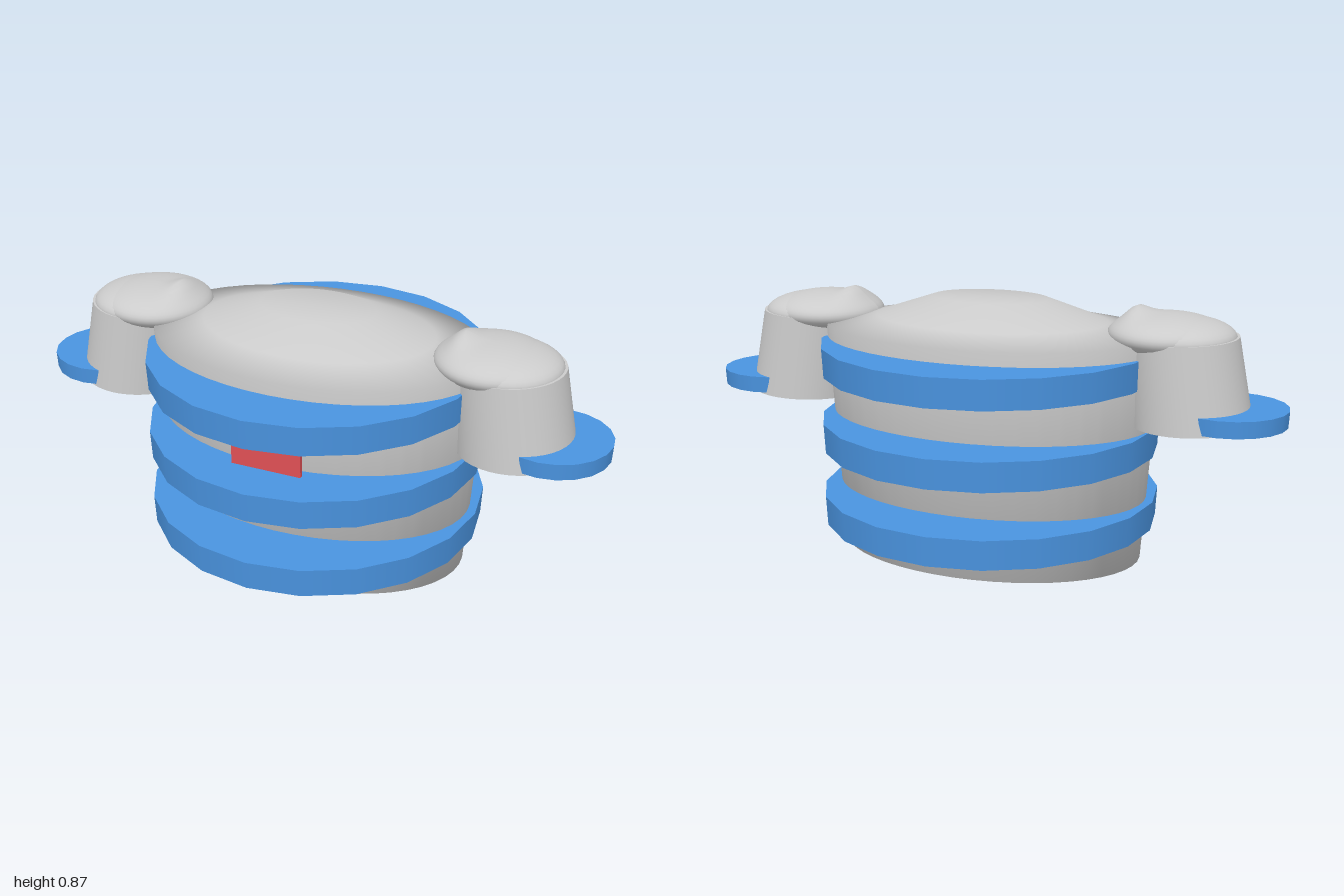
import * as THREE from 'three';

const grey = new THREE.MeshStandardMaterial({ color: 0xcccccc });
const blue = new THREE.MeshStandardMaterial({ color: 0x4a94e0 });
const red = new THREE.MeshStandardMaterial({ color: 0xe05055 });

function part(name, geometry, material, x = 0, y = 0, z = 0) {
  const mesh = new THREE.Mesh(geometry, material);
  mesh.name = name;
  mesh.position.set(x, y, z);
  return mesh;
}

// Oval torso: a lathe profile flattened front to back
function torsoGeometry() {
  const profile = [[0, 0], [0.525, 0], [0.58, 0.765], [0.4, 0.797], [0.2, 0.865], [0, 0.865]];
  const geometry = new THREE.LatheGeometry(profile.map(([r, y]) => new THREE.Vector2(r, y)), 48);
  return geometry.scale(1, 1, 0.672);
}

// Tapered sleeve leaning in towards the shoulder
function sleeveGeometry(side) {
  const geometry = new THREE.CylinderGeometry(0.18, 0.195, 0.28, 40);
  const shear = new THREE.Matrix4().set(
    1, -0.14 * side, 0, 0,
    0.03 * side, 1, 0, 0,
    0, 0, 1, 0,
    0, 0, 0, 1);
  return geometry.applyMatrix4(shear);
}

// Low rounded shoulder cap with a small peak on its inner half
function shoulderGeometry(side) {
  const geometry = new THREE.SphereGeometry(1, 40, 24).scale(0.19, 0.068, 0.187);
  const p = geometry.attributes.position;
  for (let i = 0; i < p.count; i++) {
    const x = p.getX(i) * side, y = p.getY(i), z = p.getZ(i);
    if (y > 0) {
      p.setY(i, y + 0.028 * Math.exp(-(((x + 0.1) / 0.04) ** 2) - (z / 0.08) ** 2));
    }
  }
  geometry.computeVertexNormals();
  return geometry;
}

export function createModel() {
  const model = new THREE.Group();
  model.name = 'paddedVest';
  model.add(part('torso', torsoGeometry(), grey));

  // Three round bands stacked up the torso
  for (const y of [0.165, 0.415, 0.67]) {
    model.add(part('torsoBand', new THREE.CylinderGeometry(0.57, 0.565, 0.098, 20), blue, 0, y, 0));
  }

  // Front panel
  model.add(part('chestPanel', new THREE.BoxGeometry(0.24, 0.115, 0.014), red, 0, 0.522, 0.403));

  // Arms, mirrored
  for (const side of [1, -1]) {
    const arm = new THREE.Group();
    arm.name = side > 0 ? 'leftArm' : 'rightArm';
    arm.add(part('sleeve', sleeveGeometry(side), grey, 0.67 * side, 0.64, 0));
    arm.add(part('shoulderCap', shoulderGeometry(side), grey, 0.6 * side, 0.785, 0));
    // A domed top closes the sleeve beside the cap
    const dome = new THREE.SphereGeometry(1, 32, 10, 0, Math.PI * 2, 0, Math.PI / 2).scale(0.178, 0.066, 0.178);
    arm.add(part('sleeveTop', dome, grey, 0.645 * side, 0.779, 0));
    const cuff = new THREE.CylinderGeometry(0.19, 0.187, 0.055, 20).rotateY(Math.PI / 2);
    arm.add(part('cuff', cuff, blue, 0.81 * side, 0.537, 0));
    model.add(arm);
  }
  return model;
}
